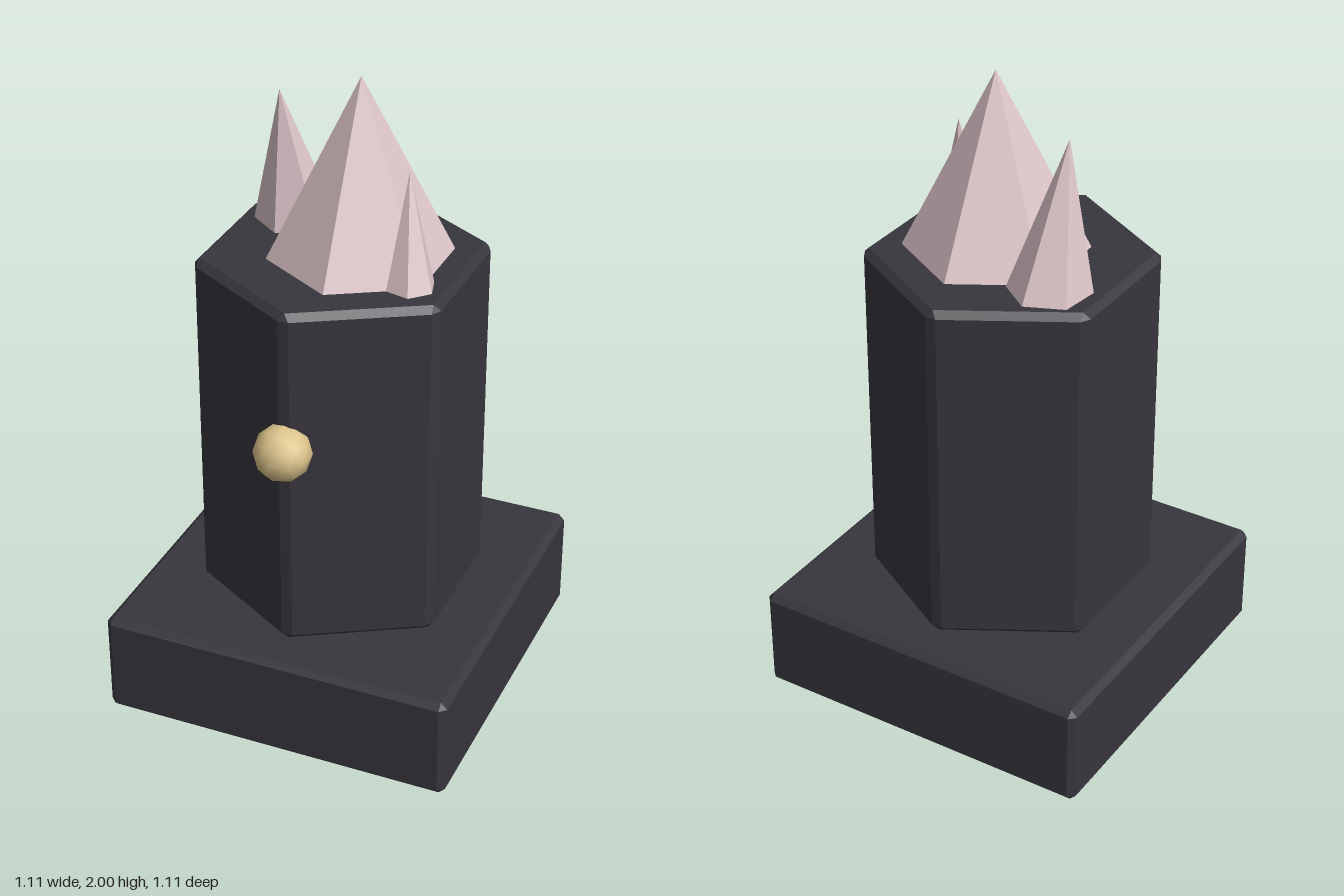
import * as THREE from 'three';
import { ConvexGeometry } from 'three/addons/geometries/ConvexGeometry.js';

const stone = new THREE.MeshStandardMaterial({ color: 0x38363d });
stone.name = 'dark stone';
const crystal = new THREE.MeshStandardMaterial({ color: 0xdcc4c8 });
crystal.name = 'pale pink crystal';
const gold = new THREE.MeshStandardMaterial({ color: 0xdcc38a });
gold.name = 'soft gold';

// Regular prism with every edge chamfered by c
function chamferedPrism(sides, apothem, y0, y1, turn, c) {
  const radius = apothem / Math.cos(Math.PI / sides);
  const inset = (apothem - c) / apothem;
  const corner = (i) => {
    const a = turn + (i * Math.PI * 2) / sides;
    return new THREE.Vector3(Math.sin(a) * radius, 0, Math.cos(a) * radius);
  };
  const points = [];
  for (let i = 0; i < sides; i++) {
    const p = corner(i);
    for (const [edge, inner] of [[y0, y0 + c], [y1, y1 - c]]) {
      points.push(p.clone().multiplyScalar(inset).setY(edge));
      for (const step of [-1, 1]) {
        const along = corner(i + step).sub(p).setLength(c);
        points.push(p.clone().add(along).setY(inner));
      }
    }
  }
  return new ConvexGeometry(points);
}

// Six-sided spike whose tip leans away from its base centre
function spike([bx, bz], [tx, ty, tz], radius, turn) {
  const y0 = 1.44;
  const h = ty - y0;
  const geo = new THREE.ConeGeometry(radius, h, 6, 1, false, turn).translate(0, h / 2, 0);
  const pos = geo.attributes.position;
  for (let i = 0; i < pos.count; i++) {
    const k = pos.getY(i) / h;
    pos.setXYZ(i, pos.getX(i) + bx + (tx - bx) * k, pos.getY(i) + y0, pos.getZ(i) + bz + (tz - bz) * k);
  }
  const flat = geo.toNonIndexed();
  flat.computeVertexNormals();
  return flat;
}

export function createModel() {
  const model = new THREE.Group();
  model.name = 'crystalPedestal';
  const add = (name, geometry, material) => {
    const mesh = new THREE.Mesh(geometry, material);
    mesh.name = name;
    model.add(mesh);
    return mesh;
  };

  // Square plinth and hexagonal column
  add('plinth', chamferedPrism(4, 0.555, 0, 0.335, Math.PI / 4, 0.02), stone);
  add('column', chamferedPrism(6, 0.383, 0.335, 1.445, 0, 0.02), stone);

  // Crystal cluster on top
  add('mainCrystal', spike([0.055, 0], [0.055, 2, 0], 0.28, 0), crystal);
  add('rightCrystal', spike([-0.215, -0.147], [-0.23, 1.885, -0.07], 0.127, -0.12), crystal);
  add('leftCrystal', spike([0.263, 0.135], [0.235, 1.775, 0.08], 0.076, 0.28), crystal);

  // Round stud set into the front edge
  const stud = new THREE.IcosahedronGeometry(0.087, 1).rotateZ(-0.5536);
  add('stud', stud, gold).position.set(0, 1.005, 0.443);

  return model;
}
